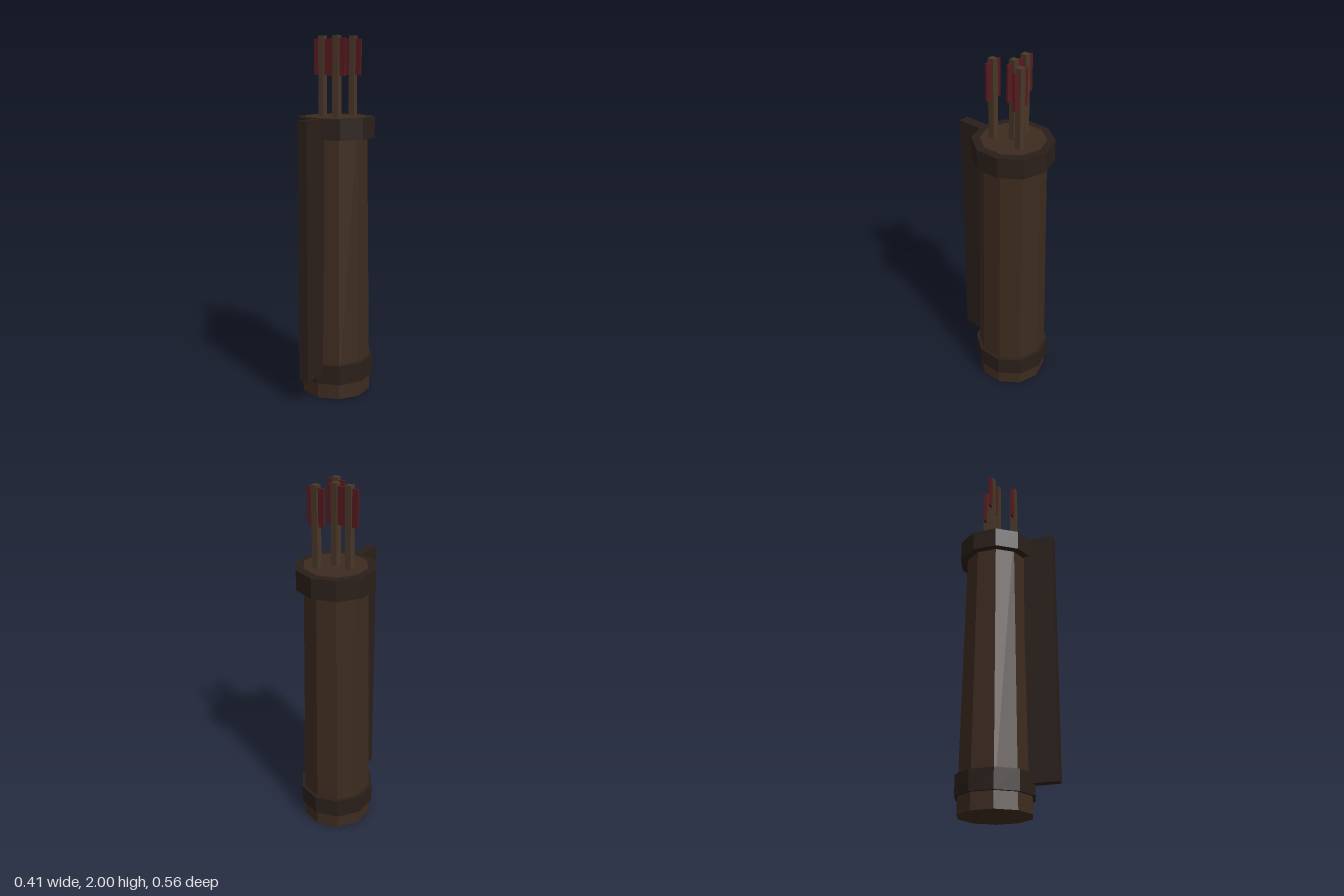
import * as THREE from 'three';

const mat = (color) => new THREE.MeshStandardMaterial({ color, flatShading: true });

export function createModel() {
  const model = new THREE.Group();
  const leather = mat(0x3d2b1f);
  const trim = mat(0x2a1f1a);
  const wood = mat(0x4a3728);
  const feather = mat(0x551a1e);
  const axisZ = -0.066;

  const add = (name, geometry, material, x, y, z, parent = model) => {
    const mesh = new THREE.Mesh(geometry, material);
    mesh.name = name;
    mesh.position.set(x, y, z);
    parent.add(mesh);
  };

  // Ten-sided tapered body, its top a hair above the upper band
  const height = 1.573;
  add('quiverBody', new THREE.CylinderGeometry(0.172, 0.2, height, 10), leather, 0, height / 2, axisZ);

  // Bands around the foot and the mouth
  const band = new THREE.CylinderGeometry(0.2145, 0.2145, 0.111, 10);
  add('lowerBand', band, trim, 0, 0.146, axisZ);
  add('upperBand', band, trim, 0, 1.515, axisZ);

  // Long strap standing off the front
  add('strap', new THREE.BoxGeometry(0.056, 1.422, 0.17), trim, 0, 0.859, 0.193);

  // Arrows: square shafts with flat fletching near the end
  const shaft = new THREE.BoxGeometry(0.034, 0.6, 0.034);
  const vane = new THREE.BoxGeometry(0.1, 0.195, 0.012);
  for (const [x, z] of [[0, -0.066], [-0.086, -0.066], [0.056, -0.152], [0.056, 0.02]]) {
    const arrow = new THREE.Group();
    arrow.name = 'arrow';
    arrow.position.set(x, 0, z);
    add('arrowShaft', shaft, wood, 0, 1.7, 0, arrow);
    add('arrowFletching', vane, feather, 0, 1.888, 0, arrow);
    model.add(arrow);
  }
  return model;
}
